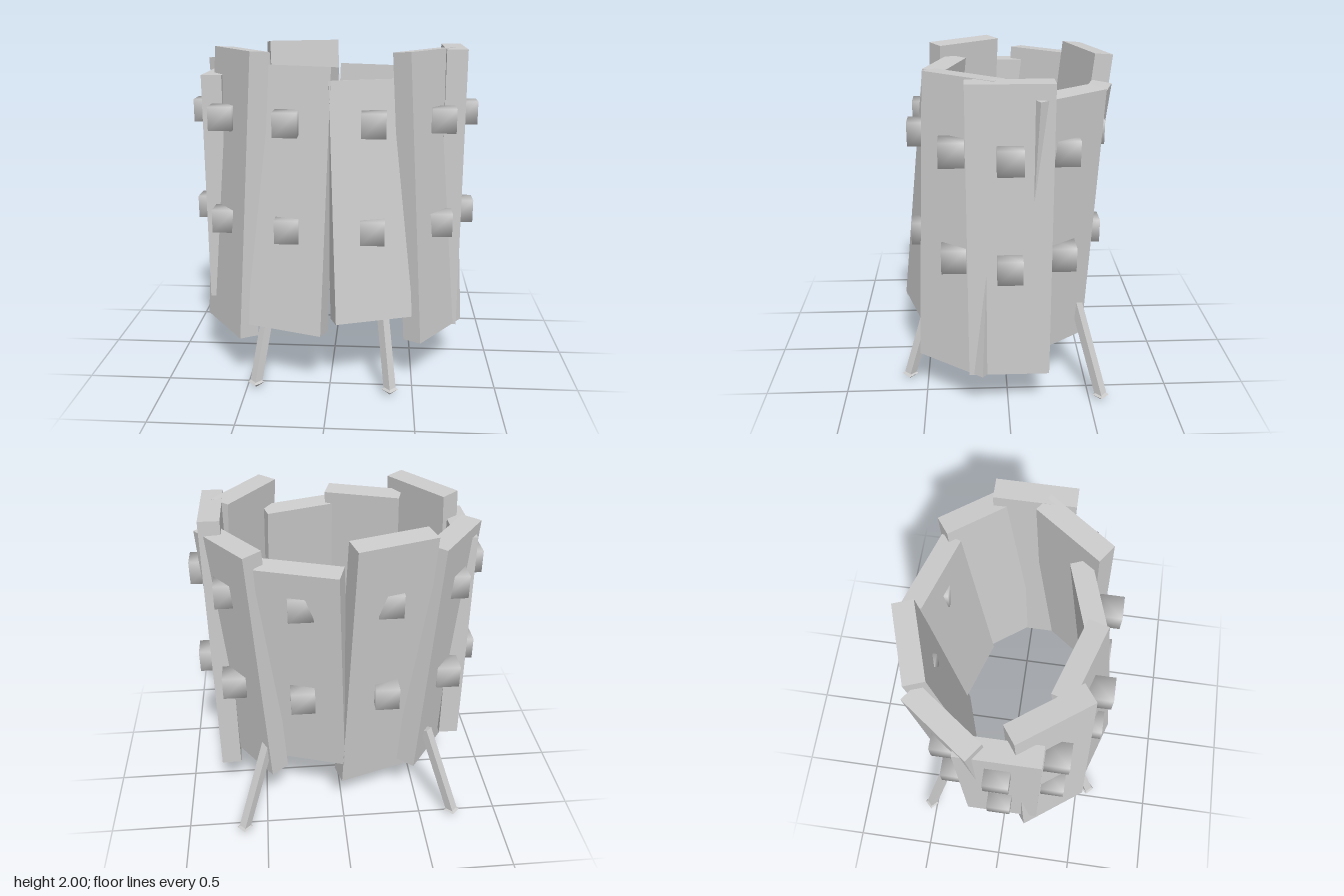
import * as THREE from 'three';
import { mergeVertices } from 'three/addons/utils/BufferGeometryUtils.js';

const grey = new THREE.MeshStandardMaterial({ color: 0xcccccc });
grey.name = 'grey';

function add(parent, name, geometry) {
  const mesh = new THREE.Mesh(geometry, grey);
  mesh.name = name;
  parent.add(mesh);
  return mesh;
}

// Cube with shared corners, so that its shading is smooth
function studGeometry(size) {
  const box = new THREE.BoxGeometry(size, size, size);
  box.deleteAttribute('normal');
  box.deleteAttribute('uv');
  const smooth = mergeVertices(box);
  smooth.computeVertexNormals();
  return smooth;
}

export function createModel() {
  const model = new THREE.Group();
  model.name = 'staveBucket';
  const count = 10;
  const lengths = [1.55, 1.71, 1.40];
  const stud = studGeometry(0.14);

  for (let i = 0; i < count; i++) {
    const a = (i / count) * Math.PI * 2;
    const c = Math.cos(a), s = Math.sin(a);

    // Staves on an oval ring, leaning more toward the front and back
    const length = lengths[(i || count) % 3];
    const stave = add(model, 'stave', new THREE.BoxGeometry(0.465, length, 0.122));
    stave.position.set(0.718 * c, 1.146, 0.463 * s);
    stave.rotation.set(-0.12 * s, Math.PI / 2 - a, 0, 'YXZ');

    // Two rows of square studs
    for (const y of [0.99, 1.61]) {
      add(model, 'stud', stud).position.set(0.8 * c, y, 0.525 * s);
    }
  }

  // Splayed legs: foot x, foot z, top x, top z
  const legs = [
    [0.365, 0.615, 0.30, 0.445],
    [-0.445, 0.575, -0.355, 0.405],
    [-0.71, -0.535, -0.53, -0.385],
    [0.645, -0.57, 0.465, -0.415],
  ];
  const up = new THREE.Vector3(0, 1, 0);
  for (const [fx, fz, tx, tz] of legs) {
    const foot = new THREE.Vector3(fx, 0.035, fz);
    const top = new THREE.Vector3(tx, 0.605, tz);
    const along = top.clone().sub(foot);
    const geometry = new THREE.CylinderGeometry(0.036, 0.036, along.length(), 4).toNonIndexed();
    geometry.computeVertexNormals();
    const leg = add(model, 'leg', geometry);
    leg.position.copy(foot).add(top).multiplyScalar(0.5);
    leg.quaternion.setFromUnitVectors(up, along.normalize());

    // Pointed foot
    const tip = add(model, 'foot', new THREE.OctahedronGeometry(0.05));
    tip.scale.y = 0.7;
    tip.position.copy(foot);
  }
  return model;
}
